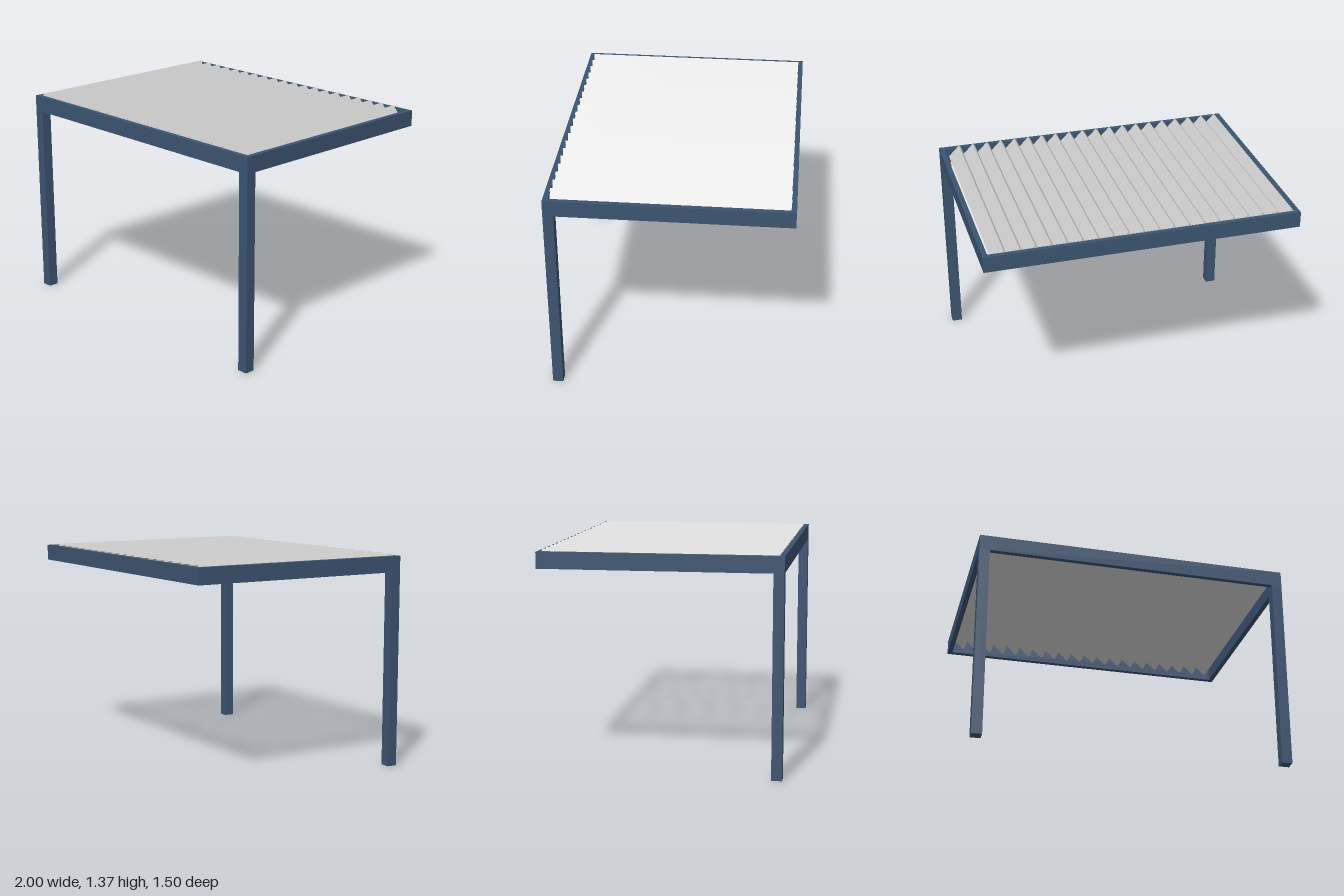
import * as THREE from 'three';

const WIDTH = 2, DEPTH = 1.5, TOP = 1.357, BEAM_BOTTOM = 1.255;
const WALL = 0.032, POST = 0.066;

export function createModel() {
  const model = new THREE.Group();
  model.name = 'louvredPergola';
  const frameMaterial = new THREE.MeshStandardMaterial({ color: 0x3c5470 });
  const slatMaterial = new THREE.MeshStandardMaterial({ color: 0xcccccc });

  const addBox = (name, size, position, material) => {
    const mesh = new THREE.Mesh(new THREE.BoxGeometry(...size), material);
    mesh.name = name;
    mesh.position.set(...position);
    model.add(mesh);
    return mesh;
  };

  // Roof frame: one upright board on each side
  const beamHeight = TOP - BEAM_BOTTOM, beamY = (TOP + BEAM_BOTTOM) / 2;
  for (const s of [1, -1]) {
    addBox(s > 0 ? 'frontBeam' : 'backBeam', [WIDTH, beamHeight, WALL],
      [0, beamY, s * (DEPTH - WALL) / 2], frameMaterial);
    addBox(s > 0 ? 'leftBeam' : 'rightBeam', [WALL, beamHeight, DEPTH - 2 * WALL],
      [s * (WIDTH - WALL) / 2, beamY, 0], frameMaterial);

    // Posts under the front corners only
    addBox(s > 0 ? 'leftPost' : 'rightPost', [POST, BEAM_BOTTOM, POST],
      [s * (WIDTH - POST) / 2, BEAM_BOTTOM / 2, (DEPTH - POST) / 2], frameMaterial);
  }

  // Louvre slats, tilted 45 degrees and rising towards -x
  const count = 20, pitch = 0.0958, firstX = -0.922;
  for (let i = 0; i < count; i++) {
    const slat = addBox(`slat${i + 1}`, [0.1, 0.02, DEPTH - 2 * WALL + 0.004],
      [firstX + i * pitch, 1.33, 0], slatMaterial);
    slat.rotation.z = -Math.PI / 4;
  }

  return model;
}
